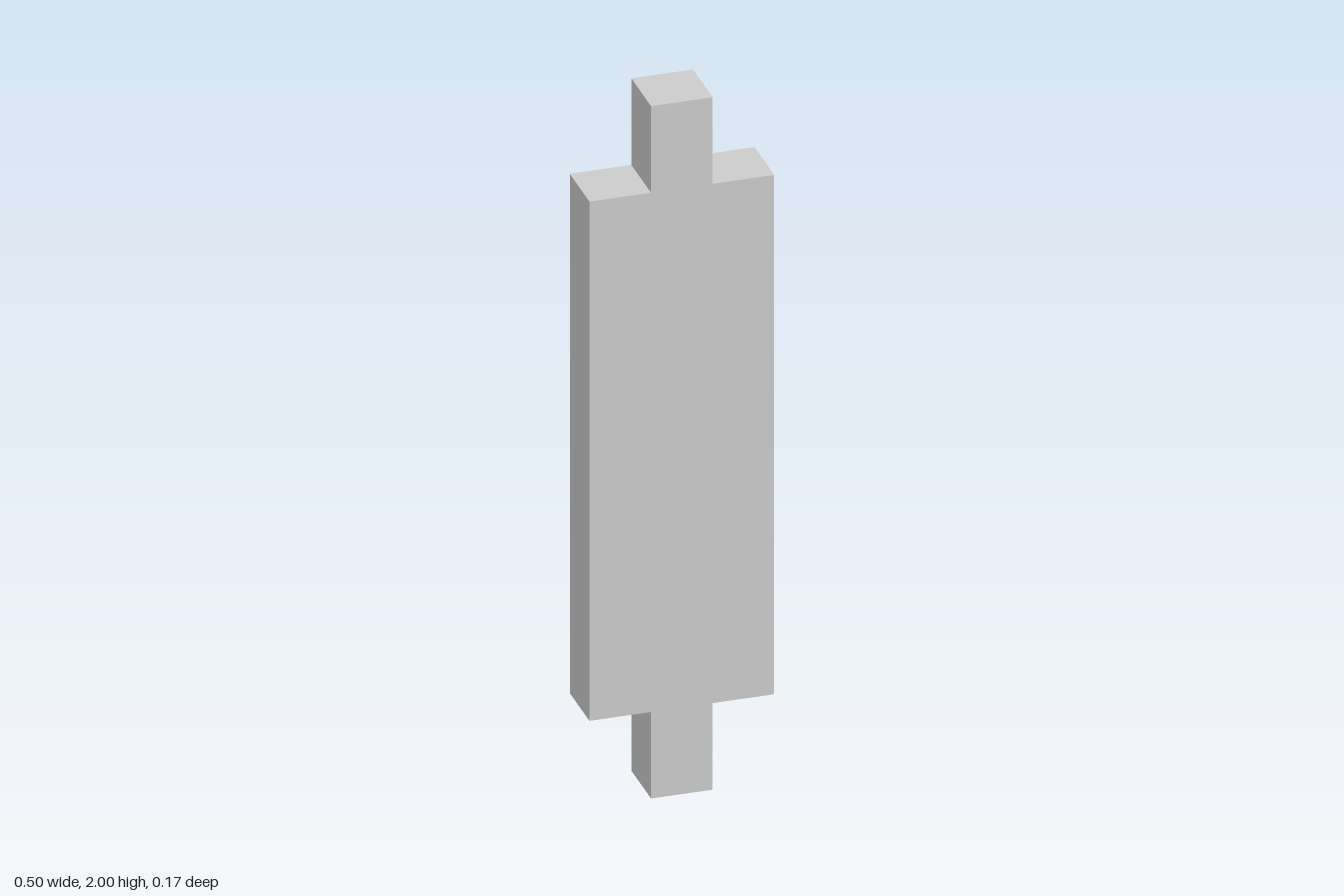
import * as THREE from 'three';

export function createModel() {
  const depth = 1 / 6;
  const tab = 1 / 12;              // half width of the end tabs
  const half = 0.25;               // half width of the main slab
  const low = 0.25, high = 1.75, top = 2;

  // One continuous outline: a slab with a centred tab at each end
  const right = [[tab, 0], [tab, low], [half, low], [half, high], [tab, high], [tab, top]];
  const left = right.map(([x, y]) => [-x, y]).reverse();
  const outline = new THREE.Shape([...right, ...left].map(([x, y]) => new THREE.Vector2(x, y)));

  const geometry = new THREE.ExtrudeGeometry(outline, { depth, bevelEnabled: false });
  geometry.translate(0, 0, -depth / 2);

  const slab = new THREE.Mesh(
    geometry,
    new THREE.MeshStandardMaterial({ color: 0xcccccc, flatShading: true })
  );
  slab.name = 'tabbedSlab';

  const model = new THREE.Group();
  model.name = 'model';
  model.add(slab);
  return model;
}
